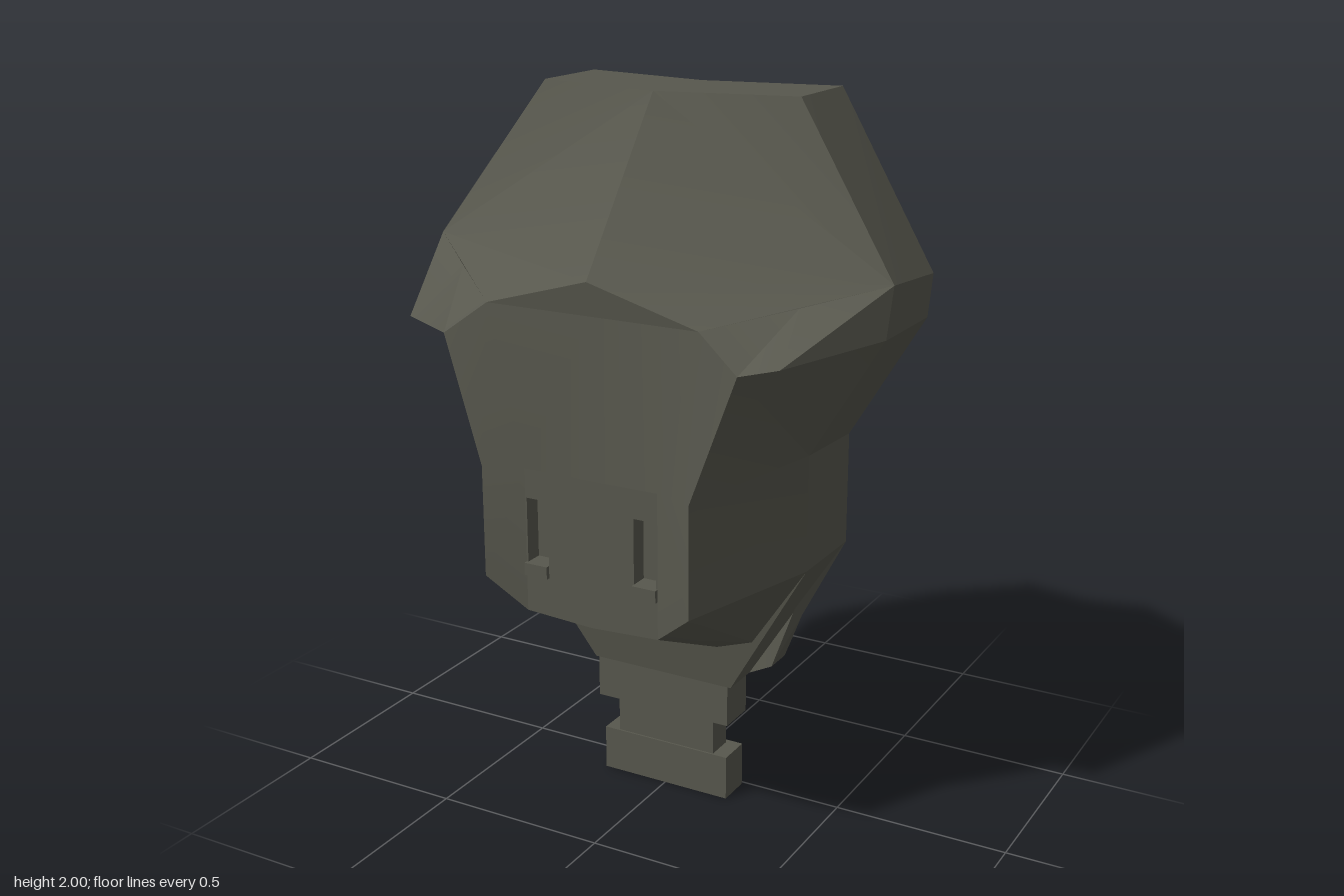
import * as THREE from 'three';
import { toCreasedNormals } from 'three/addons/utils/BufferGeometryUtils.js';

const gunmetal = new THREE.MeshStandardMaterial({ color: 0x57574d, side: THREE.DoubleSide });
gunmetal.name = 'gunmetal';

// Mirrored shell: polygons given for the +x half, wound to face away from a centre
function shell(name, polys, centre) {
  const pos = [];
  const c = new THREE.Vector3(...centre);
  for (const side of [1, -1]) {
    for (const poly of polys) {
      const p = poly.map(([x, y, z]) => new THREE.Vector3(x * side, y, z));
      for (let i = 1; i < p.length - 1; i++) {
        const t = [p[0], p[i], p[i + 1]];
        const n = t[1].clone().sub(t[0]).cross(t[2].clone().sub(t[0]));
        const mid = t[0].clone().add(t[1]).add(t[2]).divideScalar(3).sub(c);
        if (n.dot(mid) < 0) t.reverse();
        t.forEach(v => pos.push(v.x, v.y, v.z));
      }
    }
  }
  const g = new THREE.BufferGeometry();
  g.setAttribute('position', new THREE.Float32BufferAttribute(pos, 3));
  return named(name, toCreasedNormals(g, 0.45));
}

function named(name, geometry) {
  const m = new THREE.Mesh(geometry, gunmetal);
  m.name = name;
  return m;
}

function box(name, x, y0, y1, z0, z1, cx = 0) {
  const g = new THREE.BoxGeometry(x * 2, y1 - y0, z1 - z0);
  g.translate(cx, (y0 + y1) / 2, (z0 + z1) / 2);
  return named(name, g);
}

// Quads between two rows of points
const bridge = (a, b) => a.slice(1).map((_, i) => [a[i], a[i + 1], b[i + 1], b[i]]);

export function createModel() {
  const model = new THREE.Group();
  model.name = 'armouredHead';

  // Half cross-sections of the skull, from crown to underside
  const back = [[0, 1.76, -.48], [.22, 1.76, -.525], [.4, 1.51, -.48], [.4, 1.44, -.467], [.27, 1.23, -.455], [.27, 1.05, -.455]];
  const rear = [[0, 2, -.1], [.38, 2, -.17], [.68, 1.55, -.1], [.68, 1.44, -.07], [.48, 1.1, -.05], [.48, .79, -.05]];
  const fore = [[0, 2, .16], [.38, 2, .08], [.68, 1.57, .16], [.68, 1.44, .2], [.48, 1.11, .2], [.48, .79, .2]];
  const hub = [0, 1.4, -.46];
  model.add(shell('skull', [
    ...bridge(back, rear),
    ...bridge(rear, fore),
    ...bridge(back.slice(0, 5), Array(5).fill(hub)).map(([a, b, c]) => [a, b, c]),
    [hub, back[4], [0, 1.23, -.455]],
    [[0, 1.23, -.455], back[4], back[5], [0, 1.05, -.455]],
    [[0, 1.05, -.455], back[5], rear[5], [0, .79, -.05]],
  ], [0, 1.3, -.1]));

  // Visor with its folded lower lip
  const peak = [0, 1.57, .495];
  const lip = [.31, 1.48, .483];
  const socket = [.5, 1.525, .318];
  model.add(shell('visor', [
    [fore[0], fore[1], fore[2], peak],
    [peak, fore[2], lip],
    [peak, lip, [0, 1.48, .483]],
  ], [0, 1.5, 0]));

  // Pointed cheeks and eye sockets
  const tip = [.54, 1.42, .505];
  const cheek = [.43, 1.39, .51];
  model.add(shell('cheeks', [
    [fore[2], fore[3], tip],
    [fore[2], tip, socket],
    [tip, cheek, socket],
    [cheek, lip, socket],
    [fore[3], tip, cheek],
  ], [0, 1.4, .1]));

  // Face mask
  const mid = [.31, 1.05, .53];
  const low = [.31, .74, .53];
  const inner = [.2, 1.05, .495];
  const chin = [.2, .65, .495];
  model.add(shell('faceMask', [
    [[0, 1.48, .483], lip, inner, [0, 1.05, .495]],
    [lip, cheek, mid, inner],
    [inner, mid, low, chin],
    [cheek, fore[3], fore[4], mid],
    [mid, fore[4], fore[5], low],
  ], [0, 1.1, 0]));

  // Mouth plate with two vent slots
  const plate = new THREE.Shape();
  plate.moveTo(-.2, .65).lineTo(0, .64).lineTo(.2, .65).lineTo(.2, 1.05).lineTo(-.2, 1.05).closePath();
  for (const s of [-1, 1]) {
    const a = Math.min(s * .13, s * .195);
    const slot = new THREE.Path();
    slot.moveTo(a, .79).lineTo(a, .97).lineTo(a + .065, .97).lineTo(a + .065, .79).closePath();
    plate.holes.push(slot);
    model.add(box('ventBack', .05, .76, 1, .435, .445, s * .163));
    model.add(box('ventTab', .035, .755, .79, .48, .507, s * .165));
  }
  const plateGeo = new THREE.ExtrudeGeometry(plate, { depth: .05, bevelEnabled: false });
  plateGeo.translate(0, 0, .445);
  model.add(named('mouthPlate', plateGeo));

  // Jaw underside
  const jawBack = [[0, .5, .17], [.2, .5, .17], [.31, .54, .175], [.48, .79, .2]];
  model.add(shell('jaw', [
    ...bridge([[0, .64, .495], chin, low], jawBack),
    [low, jawBack[3], jawBack[2]],
  ], [0, .9, .1]));

  // Tapered neck ending in a recessed rear frame
  const ring = (xt, yt, zt, xb, yb, zb) => [[0, yt, zt], [xt, yt, zt], [xb, yb, zb], [0, yb, zb]];
  const neckFront = ring(.48, .79, .2, .22, .36, .125);
  const neckRear = ring(.48, .79, -.05, .22, .36, .01);
  model.add(shell('neck', [neckFront, ...bridge(neckFront, neckRear)], [0, .6, .07]));
  const rings = [
    ring(.42, .765, .0, .285, .39, .0),
    ring(.42, .765, -.11, .285, .39, -.085),
    ring(.375, .73, -.11, .255, .43, -.088),
  ];
  const floor = ring(.28, .69, .04, .2, .47, .05);
  model.add(shell('neckFrame', [
    ...bridge(rings[0], rings[1]),
    ...bridge(rings[1], rings[2]),
  ], [0, .58, .05]));
  model.add(shell('neckRecess', [...bridge(rings[2], floor), floor], [0, .58, .3]));
  // Rear edges joining neck to frame
  model.add(shell('neckRim', bridge(neckRear, rings[0]), [0, .58, .1]));

  // Stepped neck post
  model.add(box('neckCollar', .21, .24, .365, .01, .125));
  model.add(box('neckPin', .155, .13, .24, .025, .105));
  model.add(box('neckBase', .2, 0, .13, .01, .11));

  return model;
}
